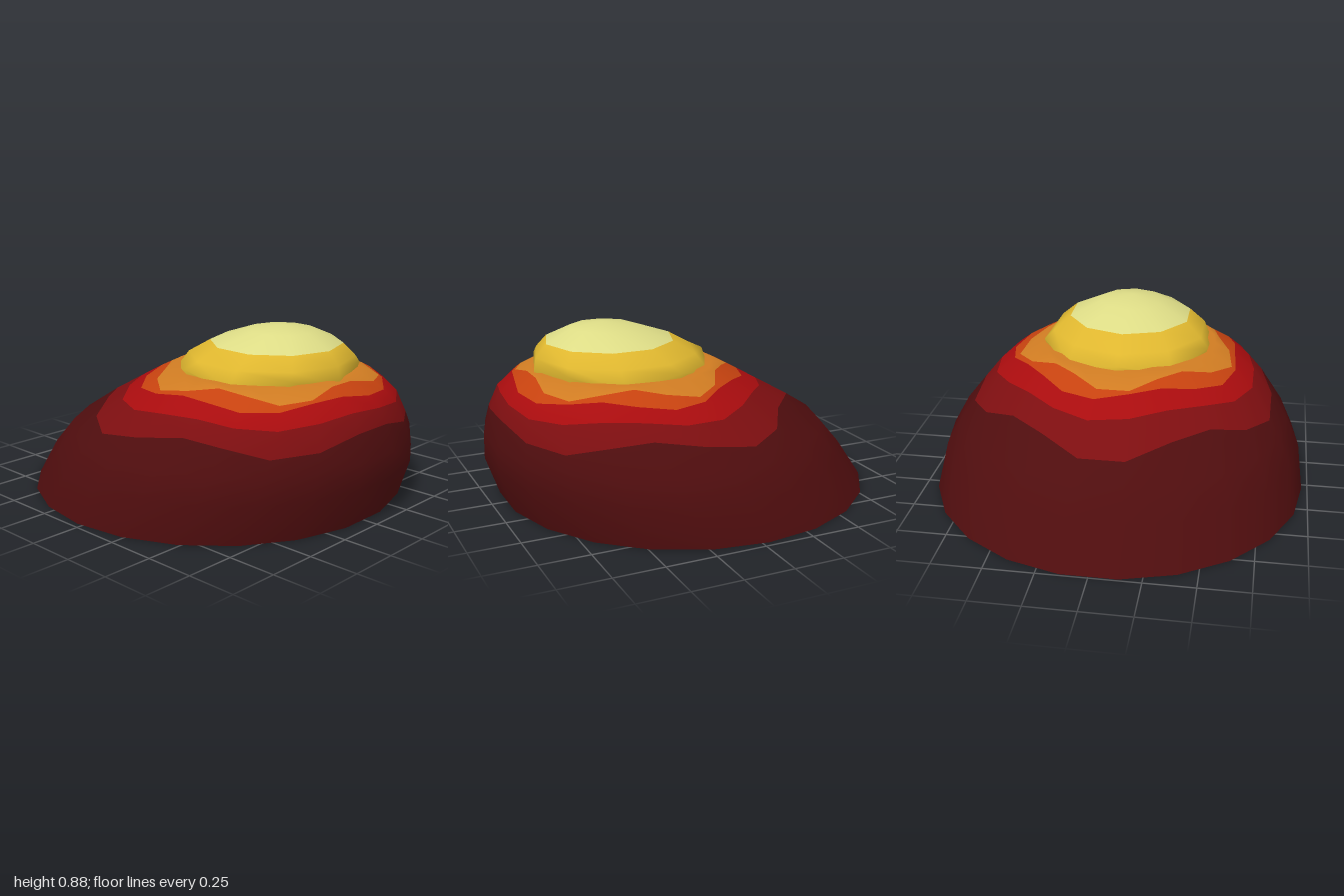
import * as THREE from 'three';

const mat = (name, color) => {
  const m = new THREE.MeshStandardMaterial({ color });
  m.name = name;
  return m;
};

// Smooth surface through closed rings (bottom to top), closed by an apex.
// Each ring is a function angle -> [x, y, z]; angle 0 is the front.
// bands[i] is the material index between ring i and the next one.
function loft(rings, apex, sides, offset, bands) {
  const pos = [], index = [];
  const geo = new THREE.BufferGeometry();
  for (const ring of rings) {
    for (let j = 0; j < sides; j++) pos.push(...ring(((j + offset) / sides) * Math.PI * 2));
  }
  const top = rings.length * sides;
  pos.push(...apex);
  rings.forEach((_, i) => {
    const start = index.length;
    for (let j = 0; j < sides; j++) {
      const a = i * sides + j, b = i * sides + ((j + 1) % sides);
      if (i === rings.length - 1) index.push(a, b, top);
      else index.push(a, b, a + sides, b, b + sides, a + sides);
    }
    geo.addGroup(start, index.length - start, bands[i]);
  });
  geo.setAttribute('position', new THREE.Float32BufferAttribute(pos, 3));
  geo.setIndex(index);
  geo.computeVertexNormals();
  return geo;
}

// Mound outline by height: y, front z, back z, half width
const OUTLINE = [
  [0, 0.93, -1, 0.97], [0.2, 1, -0.86, 0.94], [0.33, 1, -0.75, 0.87],
  [0.45, 0.97, -0.56, 0.77], [0.52, 0.94, -0.43, 0.71], [0.6, 0.86, -0.29, 0.6],
  [0.665, 0.74, -0.16, 0.47],
];

function moundPoint(t, y) {
  let i = 0;
  while (i < OUTLINE.length - 2 && y > OUTLINE[i + 1][0]) i++;
  const p = OUTLINE[i], q = OUTLINE[i + 1];
  const k = (y - p[0]) / (q[0] - p[0]);
  const [front, back, half] = [1, 2, 3].map((n) => THREE.MathUtils.lerp(p[n], q[n], k));
  return [Math.sin(t) * half, y, (front + back) / 2 + (Math.cos(t) * (front - back)) / 2];
}

export function createModel() {
  const group = new THREE.Group();
  group.name = 'layeredMound';
  const maroon = mat('dark maroon', 0x4f0d0e);
  const layers = [
    maroon, mat('deep red', 0x7d0e10), mat('red', 0xa90c0e),
    mat('red orange', 0xc6420f), mat('orange', 0xd07c22),
  ];
  const glow = [mat('yellow', 0xdfb72f), mat('pale yellow', 0xdddc86)];

  // Leaning mound with wavy, five-lobed colour layers
  const wavy = (mid, amp, phase = 0) => (t) => moundPoint(t, mid + amp * Math.cos(5 * t + phase));
  const mound = new THREE.Mesh(loft([
    wavy(0, 0), wavy(0.2, 0), wavy(0.33, 0),
    wavy(0.435, 0.037),
    wavy(0.532, 0.016, 0.6),
    wavy(0.595, 0.018, 1.2),
    wavy(0.628, 0.024),
    wavy(0.665, 0),
  ], [0, 0.66, 0.3], 22, 0.5, [0, 0, 0, 1, 2, 3, 4, 4]), layers);
  mound.name = 'mound';
  group.add(mound);

  // Flat underside
  const underside = new THREE.Mesh(new THREE.CircleGeometry(1, 22).rotateX(Math.PI / 2), maroon);
  underside.scale.set(0.97, 1, 0.965);
  underside.position.z = -0.035;
  underside.name = 'underside';
  group.add(underside);

  // Bright cap with a zigzag rim tucked into the mound
  const ring = (r, y, z, wave = 0) => (t) =>
    [Math.sin(t) * r, y - wave * Math.cos(5 * t), z + Math.cos(t) * r];
  const cap = new THREE.Mesh(loft([
    ring(0.43, 0.6, 0.3),
    ring(0.46, 0.66, 0.3, 0.028),
    ring(0.415, 0.725, 0.33),
    ring(0.33, 0.79, 0.36),
    ring(0.17, 0.855, 0.39),
  ], [0, 0.88, 0.4], 10, 0, [0, 0, 0, 1, 1]), glow);
  cap.name = 'cap';
  group.add(cap);

  return group;
}
